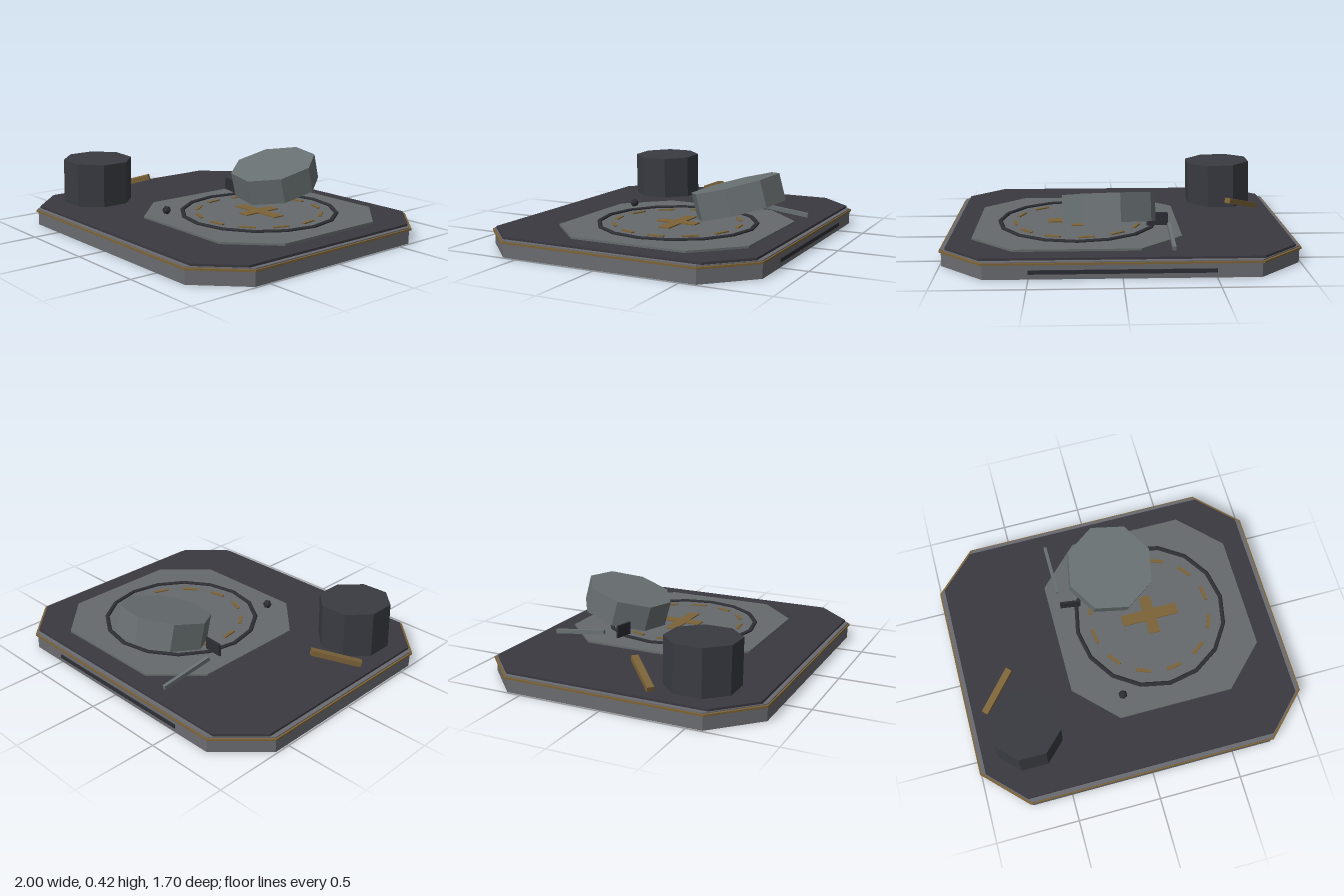
import * as THREE from 'three';

const mat = (name, color) => {
  const m = new THREE.MeshStandardMaterial({ color });
  m.name = name;
  return m;
};

export function createModel() {
  const model = new THREE.Group();
  model.name = 'brokenLandingPlatform';
  const steel = mat('steel', 0x6a6b70);
  const padGrey = mat('padGrey', 0x656a6c);
  const paleMetal = mat('paleMetal', 0x697072);
  const deckDark = mat('deckDark', 0x3b3941);
  const drumDark = mat('drumDark', 0x393b41);
  const trimDark = mat('trimDark', 0x2d2e34);
  const gold = mat('gold', 0x7c6338);

  const add = (name, geo, material, pos = [0, 0, 0], rot = [0, 0, 0], parent = model) => {
    const mesh = new THREE.Mesh(geo, material);
    mesh.name = name;
    mesh.position.set(...pos);
    mesh.rotation.set(...rot);
    parent.add(mesh);
    return mesh;
  };
  const box = (w, h, d) => new THREE.BoxGeometry(w, h, d);

  // Flat slab with four cut corners, standing on its local y = 0
  const cutSlab = (hx, hz, cut, height) => {
    const s = new THREE.Shape([
      [hx, hz - cut], [hx - cut, hz], [cut - hx, hz], [-hx, hz - cut],
      [-hx, cut - hz], [cut - hx, -hz], [hx - cut, -hz], [hx, cut - hz],
    ].map(([x, y]) => new THREE.Vector2(x, y)));
    return new THREE.ExtrudeGeometry(s, { depth: height, bevelEnabled: false }).rotateX(-Math.PI / 2);
  };

  // Octagonal or other low-sided prism with flat faces
  const prism = (r, h, sides, turn) => {
    const g = new THREE.CylinderGeometry(r, r, h, sides).rotateY(turn).toNonIndexed();
    g.computeVertexNormals();
    return g;
  };

  // Layered base
  add('baseBody', cutSlab(0.99, 0.84, 0.25, 0.08), steel);
  add('goldRim', cutSlab(1.0, 0.848, 0.25, 0.011), gold, [0, 0.08, 0]);
  add('upperLip', cutSlab(0.99, 0.84, 0.25, 0.006), steel, [0, 0.091, 0]);
  add('deck', cutSlab(0.965, 0.815, 0.208, 0.013), deckDark, [0, 0.097, 0]);
  add('rearSlot', box(1.0, 0.022, 0.01), trimDark, [0, 0.04, -0.842]);

  // Raised pad with its ring and markings
  const pad = new THREE.Group();
  pad.name = 'landingPad';
  pad.position.set(0.2425, 0.11, -0.105);
  model.add(pad);
  add('padPlate', cutSlab(0.593, 0.595, 0.245, 0.012), padGrey, [0, 0, 0], [0, 0, 0], pad);

  const ring = new THREE.LatheGeometry(
    [[0.45, 0.01], [0.475, 0.01], [0.475, 0.019], [0.469, 0.024], [0.456, 0.024], [0.45, 0.019], [0.45, 0.01]]
      .map(([x, y]) => new THREE.Vector2(x, y)), 16).toNonIndexed();
  ring.computeVertexNormals();
  add('padRing', ring, trimDark, [0, 0, 0], [0, 0, 0], pad);

  for (let i = 0; i < 12; i++) {
    const a = (22 + i * 30) * Math.PI / 180;
    add('ringDash', box(0.02, 0.008, 0.095), gold,
      [Math.cos(a) * 0.37, 0.015, Math.sin(a) * 0.37], [0, -a, 0], pad);
  }
  add('crossBarLong', box(0.355, 0.008, 0.07), gold, [0, 0.015, 0], [0, 0, 0], pad);
  for (const s of [-1, 1]) {
    add('crossBarShort', box(0.07, 0.008, 0.09), gold, [0, 0.015, s * 0.08], [0, 0, 0], pad);
  }

  // Toppled eight-sided block leaning on the pad
  add('tiltedBlock', prism(0.27, 0.16, 8, 0.2), paleMetal, [0.06, 0.273, -0.405], [0.262, 0, -0.02]);

  // Standing drum
  add('drum', prism(0.213, 0.272, 8, Math.PI / 8), drumDark, [-0.67, 0.244, 0.447], [0, 0, -0.03]);

  // Loose debris
  const bar = add('goldBar', box(0.04, 0.032, 0.3), gold, [-0.785, 0.162, 0.145]);
  bar.rotation.set(-0.27, -Math.PI / 4, 0, 'YXZ');
  bar.rotation.y = Math.PI - Math.PI / 4;
  add('looseRod', box(0.02, 0.025, 0.342), paleMetal, [-0.282, 0.146, -0.55], [-0.12, 0, 0]);
  add('brokenPanel', box(0.125, 0.075, 0.012), trimDark, [-0.222, 0.177, -0.282], [0, -0.12, -0.05]);
  add('bolt', new THREE.IcosahedronGeometry(0.028, 0), trimDark, [-0.058, 0.148, 0.36]);

  return model;
}
